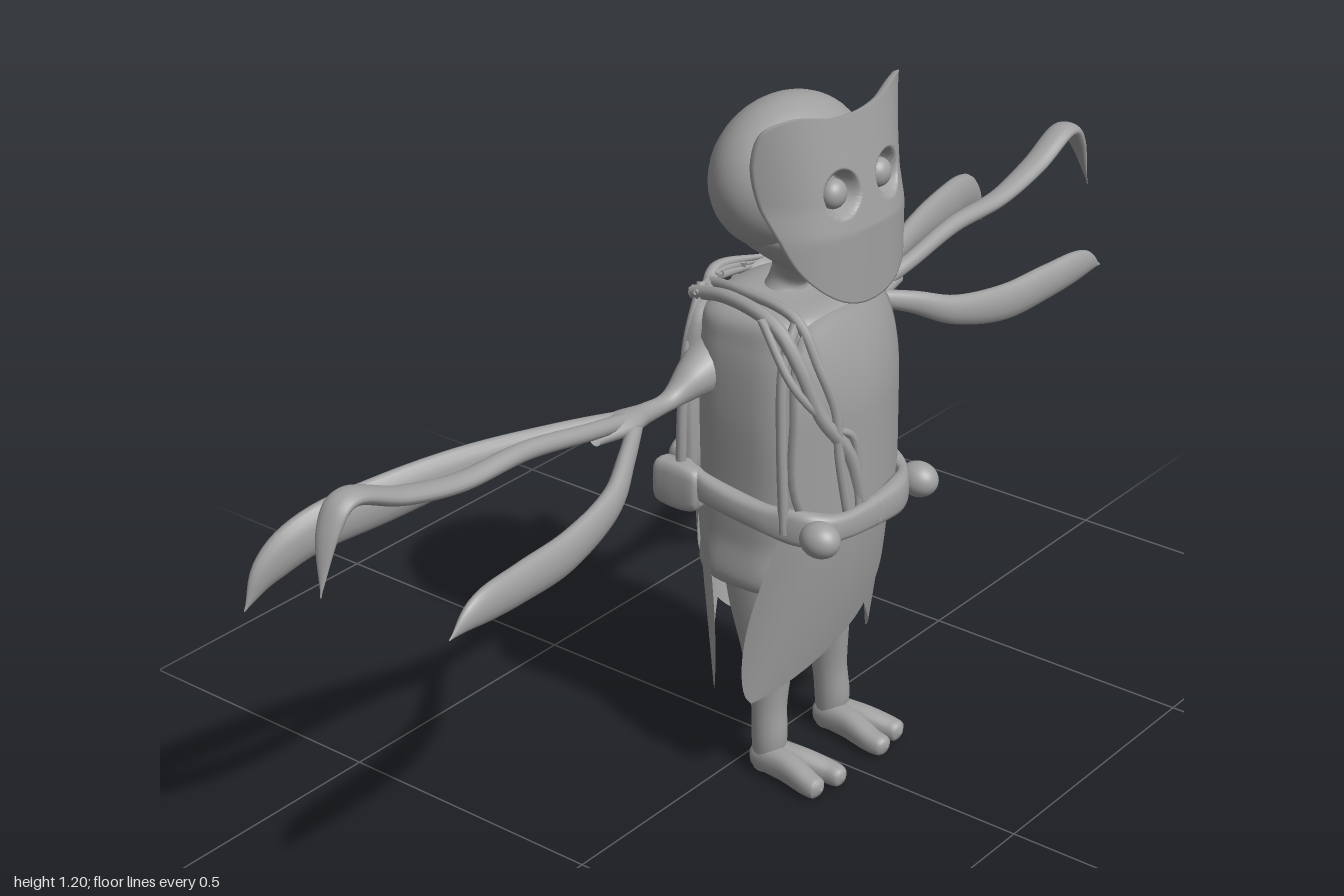
import * as THREE from 'three';

const grey = new THREE.MeshStandardMaterial({ color: 0xa0a0a0, side: THREE.DoubleSide });
grey.name = 'clay grey';
const UP = new THREE.Vector3(0, 1, 0), FWD = new THREE.Vector3(0, 0, 1), RAD = Math.PI / 180;
const pow = (c, e) => Math.sign(c) * Math.abs(c) ** e;

// Grid surface from f(u, v) -> [x, y, z]; v wraps round when closed
function surface(nu, nv, f, closed = true) {
  const pos = [], idx = [], cols = closed ? nv : nv + 1;
  for (let i = 0; i <= nu; i++) for (let j = 0; j < cols; j++) pos.push(...f(i / nu, j / nv));
  for (let i = 0; i < nu; i++) for (let j = 0; j < nv; j++) {
    const k = (j + 1) % cols, a = i * cols + j, b = i * cols + k, c = a + cols, d = b + cols;
    idx.push(a, b, c, b, d, c);
  }
  const g = new THREE.BufferGeometry();
  g.setAttribute('position', new THREE.Float32BufferAttribute(pos, 3));
  g.setIndex(idx);
  g.computeVertexNormals();
  return g;
}

// Smooth sweep through [x, y, z, half width, half height]; box < 1 squares the section
function sweep(pts, { ref = UP, nu = 40, nv = 16, box = 1 } = {}) {
  const n = pts.length - 1;
  const curve = new THREE.CubicInterpolant(pts.map((_, i) => i), pts.flat(), 5);
  const at = t => Array.from(curve.evaluate(Math.min(n, Math.max(0, t))));
  const vec = t => new THREE.Vector3(...at(t).slice(0, 3));
  return surface(nu, nv, (u, v) => {
    const t = u * n, p = at(t);
    const T = vec(t + 0.02).sub(vec(t - 0.02)).normalize();
    const S = ref.clone().cross(T).normalize(), B = T.clone().cross(S);
    const q = new THREE.Vector3(p[0], p[1], p[2]);
    q.addScaledVector(S, Math.max(p[3], 0.001) * pow(Math.cos(v * 2 * Math.PI), box));
    q.addScaledVector(B, Math.max(p[4], 0.001) * pow(Math.sin(v * 2 * Math.PI), box));
    return q.toArray();
  });
}

// Closed curved plate: outline from bottom to top on the +x side, mirrored, bent by z(x, y)
function plate(half, zOf, thick, cx = 0, rings = 16, segs = 64) {
  const other = half.slice(1, -1).reverse().map(([x, y]) => [-x, y]);
  const curve = new THREE.CatmullRomCurve3([...half, ...other].map(([x, y]) => new THREE.Vector3(x, y, 0)), true);
  const cy = (half[0][1] + half[half.length - 1][1]) / 2;
  return surface(rings * 2, segs, (u, v) => {
    const r = Math.max(0.002, 1 - Math.abs(2 * u - 1)), o = curve.getPoint(v);
    const x = cx + o.x * r, y = cy + (o.y - cy) * r;
    const back = u < 0.5 ? thick * Math.sqrt(Math.max(0, 1 - r * r)) : 0;
    return [x, y, zOf(x, y) - back];
  });
}

// Pointed skirt leaf wrapped round the hips, curling inward toward its tip
function leaf(a0, a1, halfAngle, length, scale) {
  return surface(28, 20, (u, v) => {
    const w = halfAngle * Math.max(0, 1 - u ** 2.4) ** 0.75;
    const a = (a0 + (a1 - a0) * u ** 1.5 - (v * 2 - 1) * w) * RAD;
    const rz = 0.163 * (1 - 0.45 * u ** 1.5);
    return [(0.155 + 0.03 * u) * scale * Math.sin(a), 0.52 - length * u, rz * scale * Math.cos(a)];
  }, false);
}

export function createModel() {
  const root = new THREE.Group();
  const add = (name, geo, parent = root) => {
    const m = new THREE.Mesh(geo, grey);
    m.name = name;
    parent.add(m);
    return m;
  };
  const ball = (name, x, y, z, rx, ry, rz) => {
    const m = add(name, new THREE.SphereGeometry(1, 36, 24));
    m.position.set(x, y, z);
    m.scale.set(rx, ry, rz);
  };
  const cord = (name, r, pts) => add(name, sweep(pts.map(p => [...p, r, r]), { ref: new THREE.Vector3(0.98, 0, 0.2), nv: 8 }));

  // Skull and neck
  ball('head', 0, 1.05, 0.032, 0.153, 0.125, 0.108);
  add('neck', sweep([
    [0, 0.81, 0.03, 0.09, 0.07], [0, 0.84, 0.03, 0.055, 0.045], [0, 0.87, 0.034, 0.033, 0.032],
    [0, 0.9, 0.045, 0.04, 0.04], [0, 0.93, 0.05, 0.075, 0.065], [0, 0.96, 0.048, 0.1, 0.08], [0, 0.99, 0.045, 0.1, 0.08],
  ], { ref: FWD, nv: 28 }));

  // Face mask with sunken eye sockets
  const maskZ = (x, y) => {
    const d = Math.hypot(Math.abs(x) - 0.058, y - 1.065);
    const socket = 0.035 * (1 - THREE.MathUtils.smoothstep(d, 0.024, 0.038));
    return 0.2 - 0.2 * Math.max(0, y - 1) - (17 - 60 * Math.max(0, y - 1.05)) * Math.abs(x) ** 3 - socket;
  };
  add('mask', plate([[0, 0.875], [0.075, 0.893], [0.132, 0.945], [0.166, 1.04], [0.182, 1.14],
    [0.172, 1.184], [0.13, 1.197], [0.06, 1.183], [0, 1.178]], maskZ, 0.05, 0, 56, 128));
  for (const s of [1, -1]) ball('eye', s * 0.058, 1.06, 0.163, 0.024, 0.024, 0.02);

  // Torso with tunic hem
  add('torso', sweep([
    [0, 0.375, 0.03, 0, 0], [0, 0.36, 0.03, 0.135, 0.11], [0, 0.45, 0.03, 0.14, 0.115], [0, 0.55, 0.033, 0.142, 0.122],
    [0, 0.68, 0.035, 0.147, 0.122], [0, 0.79, 0.033, 0.14, 0.12], [0, 0.845, 0.03, 0.115, 0.105], [0, 0.862, 0.03, 0, 0],
  ], { ref: FWD, nu: 60, nv: 40, box: 0.7 }));

  // Chest plate and paired back plates
  const chestZ = (x, y) => 0.2 - 1.2 * Math.max(0, y - 0.68) ** 2 - 2.4 * x * x;
  add('chestPlate', plate([[0, 0.49], [0.11, 0.49], [0.145, 0.55], [0.148, 0.68], [0.135, 0.79],
    [0.1, 0.845], [0, 0.86]], chestZ, 0.05, 0.003));
  for (const s of [1, -1]) {
    const back = add('backPlate', plate([[0, 0.48], [0.055, 0.49], [0.073, 0.6], [0.07, 0.74], [0.05, 0.83],
      [0, 0.855]], chestZ, 0.045, s * 0.071));
    back.rotation.y = Math.PI;
    back.position.z = 0.075;
    cord('sidePiping', 0.009, [[s * 0.1, 0.85, 0.125], [s * 0.138, 0.78, 0.128], [s * 0.147, 0.66, 0.132], [s * 0.148, 0.5, 0.138]]);
    cord('backPiping', 0.009, [[s * 0.08, 0.855, -0.08], [s * 0.13, 0.77, -0.07], [s * 0.147, 0.65, -0.07], [s * 0.148, 0.5, -0.075]]);
    cord('backStrap', 0.008, [[s * 0.03, 0.855, -0.085], [s * 0.04, 0.78, -0.106], [s * 0.03, 0.66, -0.122], [s * 0.01, 0.5, -0.126]]);
  }

  // Vines over the right shoulder
  cord('shoulderVine', 0.012, [[-0.09, 0.84, -0.09], [-0.11, 0.86, 0], [-0.13, 0.85, 0.1], [-0.125, 0.79, 0.148],
    [-0.1, 0.7, 0.172], [-0.05, 0.62, 0.192], [-0.02, 0.52, 0.197]]);
  cord('shoulderVine', 0.009, [[-0.05, 0.845, -0.09], [-0.08, 0.862, 0], [-0.1, 0.855, 0.12], [-0.095, 0.78, 0.165],
    [-0.075, 0.7, 0.184], [-0.07, 0.62, 0.188], [-0.055, 0.52, 0.194]]);
  cord('shoulderVine', 0.007, [[-0.145, 0.86, 0.09], [-0.14, 0.76, 0.148], [-0.085, 0.68, 0.182], [-0.04, 0.64, 0.196], [-0.03, 0.52, 0.198]]);

  // Twigs tied behind the neck
  for (let i = 0; i < 3; i++) {
    add('neckTwig', sweep([[-0.11 + i * 0.01, 0.85 - i * 0.012, -0.07, 0.004, 0.004],
      [-0.02, 0.845 + i * 0.006, -0.092 - i * 0.004, 0.01, 0.008],
      [0.1 - i * 0.012, 0.835 + i * 0.008, -0.075, 0.004, 0.004]], { nv: 8 }));
  }

  // Knobbly belt, its knots and pouch
  const belt = [];
  for (let i = 0; i <= 40; i++) {
    const a = i / 40 * 2 * Math.PI;
    const x = 0.153 * pow(Math.sin(a), 0.65), z = 0.038 + 0.17 * pow(Math.cos(a), 0.65);
    belt.push([x, 0.525 - 0.13 * (z - 0.038), z, 0.014 + 0.003 * Math.sin(a * 7), 0.027 + 0.004 * Math.sin(a * 5)]);
  }
  add('belt', sweep(belt, { nu: 160, nv: 14, box: 0.7 }));
  for (const s of [1, -1]) {
    ball('beltKnot', s * 0.135, 0.503, 0.2, 0.03, 0.03, 0.035);
    add('beltPouch', sweep([[s * 0.152, 0.525, -0.025, 0.012, 0.024], [s * 0.152, 0.525, -0.035, 0.019, 0.036],
      [s * 0.152, 0.525, -0.06, 0.021, 0.042], [s * 0.152, 0.525, -0.09, 0.021, 0.042],
      [s * 0.15, 0.525, -0.115, 0.019, 0.036], [s * 0.15, 0.525, -0.12, 0, 0]], { box: 0.6 }));
  }
  ball('backKnot', 0.01, 0.485, -0.15, 0.045, 0.035, 0.027);

  // Skirt leaves, repeated front and back
  for (const turn of [0, Math.PI]) {
    const skirt = new THREE.Group();
    skirt.name = turn ? 'backSkirt' : 'frontSkirt';
    skirt.position.z = 0.04;
    skirt.rotation.y = turn;
    root.add(skirt);
    add('wideLeaf', leaf(0, -62, 58, 0.35, 1), skirt);
    add('sideLeaf', leaf(22, 66, 40, 0.35, 0.97), skirt);
    add('middleLeaf', leaf(20, 0, 45, 0.29, 0.94), skirt);
  }

  for (const s of [1, -1]) {
    const side = s > 0 ? 'left' : 'right';
    const part = (name, pts, opt) => add(side + name, sweep(pts.map(([x, ...r]) => [x * s, ...r]), opt));

    // Leg and two-toed foot
    part('Leg', [[0.088, 0.005, 0.055, 0.024, 0.022], [0.088, 0.06, 0.062, 0.029, 0.031], [0.084, 0.13, 0.058, 0.028, 0.033],
      [0.078, 0.22, 0.05, 0.033, 0.05], [0.074, 0.32, 0.038, 0.043, 0.068], [0.07, 0.42, 0.03, 0.05, 0.075]], { ref: FWD });
    for (const [tx, tz] of [[0.062, 0.2], [0.113, 0.192]]) {
      part('Toe', [[0.088, 0.025, 0.028, 0, 0], [0.088, 0.026, 0.045, 0.026, 0.025], [(0.088 + tx) / 2, 0.027, 0.11, 0.023, 0.026],
        [tx, 0.021, 0.165, 0.02, 0.02], [tx, 0.019, tz - 0.008, 0.016, 0.016], [tx, 0.018, tz, 0, 0]], { box: 0.85 });
    }

    // Arm and three long blade fingers
    part('Arm', [[0.11, 0.735, -0.04, 0.05, 0.05], [0.155, 0.725, -0.04, 0.034, 0.034], [0.21, 0.705, -0.045, 0.017, 0.016],
      [0.27, 0.705, -0.045, 0.017, 0.017], [0.33, 0.712, -0.04, 0.03, 0.018], [0.4, 0.712, -0.035, 0.01, 0.01]]);
    part('BackFinger', [[0.3, 0.71, -0.045, 0.012, 0.014], [0.42, 0.72, -0.08, 0.014, 0.018], [0.58, 0.715, -0.13, 0.018, 0.032],
      [0.72, 0.702, -0.17, 0.02, 0.04], [0.84, 0.685, -0.205, 0.02, 0.038], [0.91, 0.645, -0.228, 0.015, 0.028], [0.955, 0.588, -0.238, 0, 0]]);
    part('MiddleFinger', [[0.3, 0.71, -0.04, 0.014, 0.014], [0.42, 0.735, -0.03, 0.014, 0.014], [0.56, 0.757, -0.035, 0.016, 0.015],
      [0.7, 0.762, -0.035, 0.02, 0.014], [0.82, 0.788, -0.038, 0.024, 0.014], [0.92, 0.826, -0.04, 0.025, 0.013],
      [0.965, 0.79, -0.038, 0.02, 0.01], [0.995, 0.7, -0.03, 0, 0]], { nu: 70 });
    part('FrontFinger', [[0.3, 0.71, -0.035, 0.012, 0.014], [0.38, 0.685, 0.01, 0.014, 0.02], [0.46, 0.652, 0.045, 0.017, 0.027],
      [0.58, 0.63, 0.065, 0.018, 0.034], [0.7, 0.632, 0.077, 0.018, 0.033], [0.8, 0.634, 0.085, 0.014, 0.026], [0.862, 0.612, 0.086, 0, 0]]);
  }
  return root;
}
